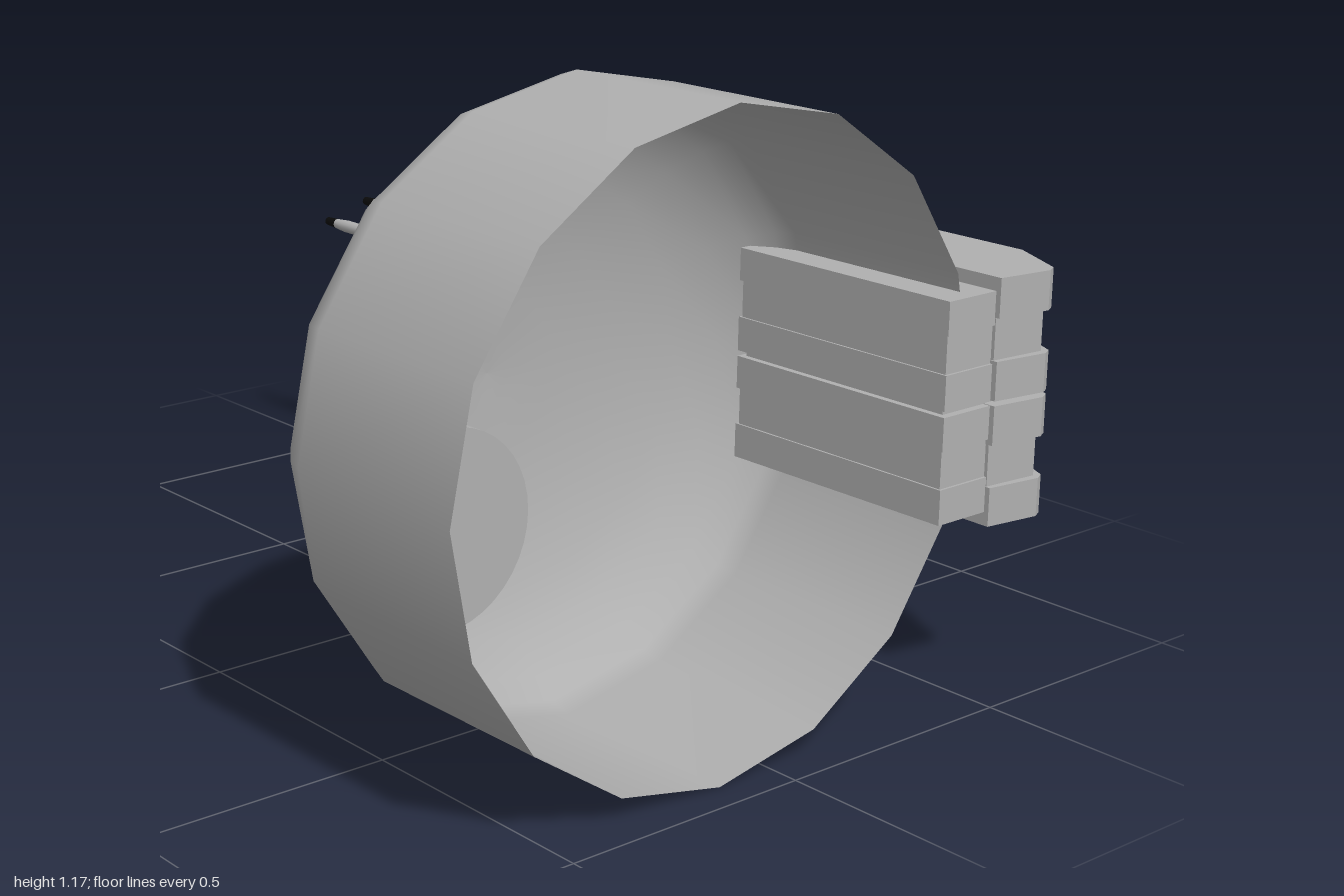
import * as THREE from 'three';
import { RoundedBoxGeometry } from 'three/addons/geometries/RoundedBoxGeometry.js';

const grey = new THREE.MeshStandardMaterial({ color: 0xb0b0b0 });
grey.name = 'grey';
grey.side = THREE.DoubleSide;
const black = new THREE.MeshStandardMaterial({ color: 0x0a0a0a });
black.name = 'black';

function add(parent, name, geometry, material = grey) {
  const mesh = new THREE.Mesh(geometry, material);
  mesh.name = name;
  parent.add(mesh);
  return mesh;
}

const outline = (pts) => new THREE.Shape(pts.map(([a, b]) => new THREE.Vector2(a, b)));

// Prism with an [x, z] outline, spanning y0..y1
function plan(pts, y0, y1) {
  const g = new THREE.ExtrudeGeometry(outline(pts), { depth: y1 - y0, bevelEnabled: false });
  return g.rotateX(Math.PI / 2).translate(0, y1, 0);
}

// Prism with a [z, y] outline, spanning x0..x1
function side(pts, x0, x1) {
  const g = new THREE.ExtrudeGeometry(outline(pts.map(([z, y]) => [-z, y])), { depth: x1 - x0, bevelEnabled: false });
  return g.rotateY(Math.PI / 2).translate(x0, 0, 0);
}

function box(x0, x1, y0, y1, z0, z1) {
  return new THREE.BoxGeometry(x1 - x0, y1 - y0, z1 - z0)
    .translate((x0 + x1) / 2, (y0 + y1) / 2, (z0 + z1) / 2);
}

// Turned shape around the z axis; profile points are [radius, z]
function turned(pts, segments, x, y) {
  return new THREE.LatheGeometry(pts.map(([r, z]) => new THREE.Vector2(r, z)), segments)
    .rotateX(Math.PI / 2).translate(x, y, 0);
}

export function createModel() {
  const model = new THREE.Group();
  model.name = 'cupWithConnector';

  // Open cup with a domed back
  add(model, 'cup', turned([[0, 0.318], [0.15, 0.325], [0.28, 0.342], [0.4, 0.375], [0.48, 0.415],
    [0.54, 0.465], [0.572, 0.51], [0.585, 0.55], [0.585, 0.94]], 16, -0.12, 0.59));

  // Round knob through the back wall
  const knob = new THREE.Group();
  knob.name = 'knob';
  model.add(knob);
  const rings = [[0, 0.285], [0.13, 0.285], [0.13, 0.263], [0.15, 0.263], [0.19, 0.305], [0.19, 0.43], [0, 0.43]];
  for (let i = 0; i < rings.length - 1; i++) {
    add(knob, 'knobRing', turned([rings[i], rings[i + 1]], 40, -0.305, 0.358));
  }

  // Two stacked connector modules with ribs and a recessed middle band
  const full = [[0.482, 0.52], [0.53, 0.455], [0.675, 0.455], [0.675, 0.87], [0.615, 0.99], [0.595, 1], [0.482, 0.985]];
  const band = [[0.485, 0.53], [0.53, 0.465], [0.65, 0.465], [0.65, 0.8], [0.6, 0.985], [0.485, 0.975]];
  for (const [i, y] of [0.35, 0.582].entries()) {
    const module = new THREE.Group();
    module.name = i ? 'upperModule' : 'lowerModule';
    model.add(module);
    add(module, 'lowerRib', plan(full, y, y + 0.072));
    add(module, 'middleBand', plan(band, y + 0.072, y + 0.15));
    add(module, 'upperRib', plan(full, y + 0.15, y + 0.223));
    // Inner block gripping the cup rim
    const b = i ? 0.583 : 0.375;
    add(module, 'innerBlock', box(0.362, 0.483, b, b + 0.065, 0.47, 0.975));
    add(module, 'innerBand', box(0.366, 0.483, b + 0.065, b + 0.135, 0.475, 0.97));
    add(module, 'innerBlock', box(0.362, 0.483, b + 0.135, b + 0.197, 0.47, 0.975));
  }
  add(model, 'moduleWeb', box(0.375, 0.65, 0.565, 0.59, 0.48, 0.96));

  // Bent latch plate on the outer side
  add(model, 'latchPlate', plan([[0.58, 0.392], [0.632, 0.4], [0.688, 0.462], [0.7, 0.5], [0.7, 0.565],
    [0.69, 0.578], [0.675, 0.575], [0.683, 0.56], [0.683, 0.505], [0.672, 0.472], [0.625, 0.414], [0.58, 0.407]],
    0.337, 0.823));
  add(model, 'latchFoot', box(0.575, 0.6, 0.345, 0.81, 0.4, 0.46));

  // Cable housing, side wings and end plug
  const housing = add(model, 'cableHousing', new RoundedBoxGeometry(0.085, 0.298, 0.42, 3, 0.018));
  housing.position.set(0.498, 0.59, 0.28);
  add(model, 'housingWing', side([[0.47, 0.4], [0.225, 0.4], [0.16, 0.485], [0.147, 0.515], [0.15, 0.54],
    [0.17, 0.56], [0.4, 0.685], [0.47, 0.715]], 0.417, 0.583));
  const plug = add(model, 'endPlug', new RoundedBoxGeometry(0.056, 0.215, 0.07, 3, 0.012));
  plug.position.set(0.496, 0.565, 0.064);

  // Two cables with sleeves and black tips
  for (const [y, end, sleeve] of [[0.62, -0.855, -0.68], [0.547, -1, -0.84]]) {
    const cable = new THREE.Group();
    cable.name = 'cable';
    model.add(cable);
    const x = 0.49;
    add(cable, 'wire', turned([[0.011, sleeve], [0.011, 0.05]], 12, x, y));
    add(cable, 'sleeve', turned([[0.011, sleeve + 0.02], [0.014, sleeve], [0.014, end + 0.07],
      [0.011, end + 0.035]], 12, x, y));
    add(cable, 'tip', new THREE.CylinderGeometry(0.011, 0.009, 0.036, 12)
      .rotateX(Math.PI / 2).translate(x, y, end + 0.018), black);
  }
  return model;
}
